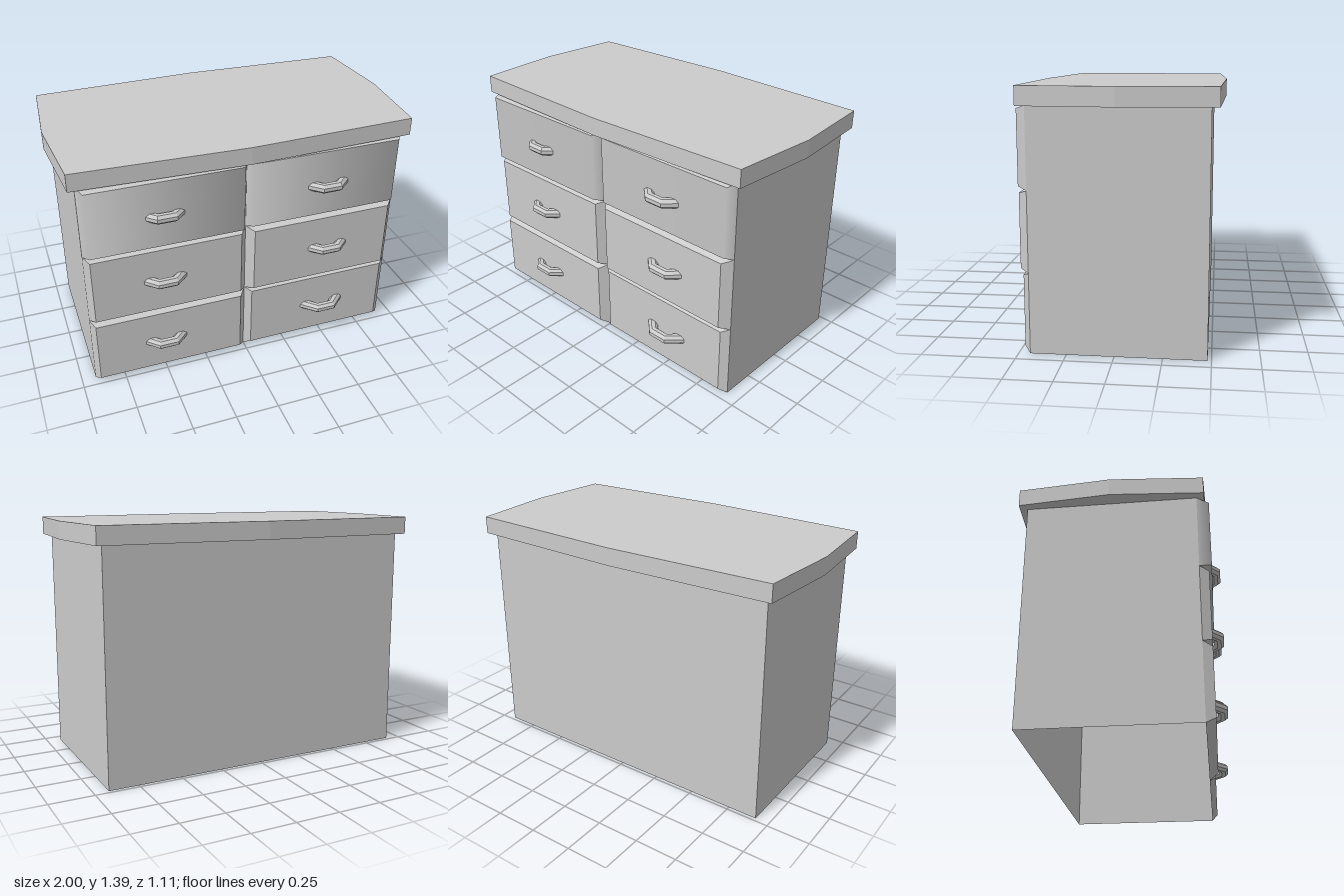
import * as THREE from 'three';
import { toCreasedNormals } from 'three/addons/utils/BufferGeometryUtils.js';

const grey = new THREE.MeshStandardMaterial({ color: 0xcccccc, flatShading: true, side: THREE.DoubleSide });
const soft = new THREE.MeshStandardMaterial({ color: 0xcccccc, side: THREE.DoubleSide });

function indexed(points, faces) {
  const geo = new THREE.BufferGeometry();
  geo.setAttribute('position', new THREE.Float32BufferAttribute(points, 3));
  geo.setIndex(faces);
  geo.computeVertexNormals();
  return geo;
}

function named(name, geo, material = grey) {
  const mesh = new THREE.Mesh(geo, material);
  mesh.name = name;
  return mesh;
}

// Hollow drawer front: a rim on the body opening and a smaller raised face
function drawerFront(rim, face, zRim, zFace, rounded) {
  const ring = ([x0, x1, y0, y1], z) => [x0, y0, z, x1, y0, z, x1, y1, z, x0, y1, z];
  const faces = [4, 5, 6, 4, 6, 7];
  for (let i = 0; i < 4; i++) {
    const j = (i + 1) % 4;
    faces.push(i, j, j + 4, i, j + 4, i + 4);
  }
  const geo = indexed([...ring(rim, zRim), ...ring(face, zFace)], faces);
  // Rounded fronts blend the upright edges and keep the level ones sharp
  return rounded ? toCreasedNormals(geo, THREE.MathUtils.degToRad(67)) : geo;
}

// Bracket handle: octagonal bar with mitred bends
function handleGeometry() {
  const path = [[-0.11, 0.465], [-0.045, 0.527], [0.045, 0.527], [0.11, 0.465]];
  const sides = 8, r = 0.028;
  // Outward offset in the x-z plane at each path point; the ends are cut level with the front
  const offsets = [[-1.46, 0], [-0.4, 1], [0.4, 1], [1.46, 0]];
  const points = [], faces = [];
  path.forEach(([x, z], k) => {
    for (let i = 0; i < sides; i++) {
      const a = ((i + 0.5) / sides) * Math.PI * 2;
      points.push(x + offsets[k][0] * r * Math.cos(a), r * Math.sin(a), z + offsets[k][1] * r * Math.cos(a));
    }
  });
  for (let k = 0; k < path.length - 1; k++) {
    for (let i = 0; i < sides; i++) {
      const a = k * sides + i, b = k * sides + (i + 1) % sides;
      faces.push(a, a + sides, b, b, a + sides, b + sides);
    }
  }
  const last = (path.length - 1) * sides;
  for (let i = 1; i < sides - 1; i++) {
    faces.push(0, i, i + 1, last, last + i + 1, last + i);
  }
  return indexed(points, faces);
}

export function createModel() {
  const model = new THREE.Group();
  const W = 0.92, zFront = 0.44, zBack = -0.48, yTop = 1.29;

  // Body: sides and back, open below and in front
  const corners = [[W, zFront], [W, zBack], [-W, zBack], [-W, zFront]];
  const wall = [], wallFaces = [];
  corners.forEach(([x, z], i) => {
    wall.push(x, 0.003, z, x, yTop, z);
    if (i < 3) wallFaces.push(2 * i, 2 * i + 2, 2 * i + 1, 2 * i + 2, 2 * i + 3, 2 * i + 1);
  });
  model.add(named('body', indexed(wall, wallFaces)));

  // Top slab with gently bowed edges
  const outline = [[-0.96, -0.52], [0, -0.555], [0.96, -0.52], [1, -0.02],
    [0.96, 0.48], [0, 0.515], [-0.96, 0.48], [-1, -0.02]];
  const shape = new THREE.Shape(outline.map(([x, z]) => new THREE.Vector2(x, -z)));
  const slab = new THREE.ExtrudeGeometry(shape, { depth: 0.1, bevelEnabled: false });
  slab.rotateX(-Math.PI / 2).translate(0, yTop, 0);
  model.add(named('top', slab));

  // Drawers: face is [x0, x1, y0, y1]
  const rows = [
    { name: 'bottom', y: [0.003, 0.433], handleY: 0.22, drawers: [
      { face: [-0.895, -0.04, 0.035, 0.41], z: 0.49, handleX: -0.495 },
      { face: [0.035, 0.88, 0.03, 0.415], z: 0.475, handleX: 0.495 }] },
    { name: 'middle', y: [0.433, 0.863], handleY: 0.65, drawers: [
      { face: [-0.89, -0.04, 0.45, 0.845], z: 0.49, handleX: -0.485 },
      { face: [0.04, 0.875, 0.45, 0.845], z: 0.49, handleX: 0.495 }] },
    { name: 'top', y: [0.863, yTop], handleY: 1.07, rounded: true, drawers: [
      { face: [-0.89, -0.03, 0.882, 1.275], z: 0.505, handleX: -0.475 },
      { face: [0.03, 0.89, 0.882, 1.275], z: 0.49, handleX: 0.47 }] },
  ];
  const handle = handleGeometry();
  for (const row of rows) {
    row.drawers.forEach(({ face, z, handleX }, i) => {
      const drawer = new THREE.Group();
      drawer.name = `${row.name}${i ? 'Left' : 'Right'}Drawer`;
      const rim = [i ? 0 : -W, i ? W : 0, ...row.y];
      drawer.add(named('drawerFront', drawerFront(rim, face, zFront, z, row.rounded), row.rounded ? soft : grey));
      const grip = named('handle', handle);
      grip.position.set(handleX, row.handleY, 0);
      drawer.add(grip);
      model.add(drawer);
    });
  }
  return model;
}
